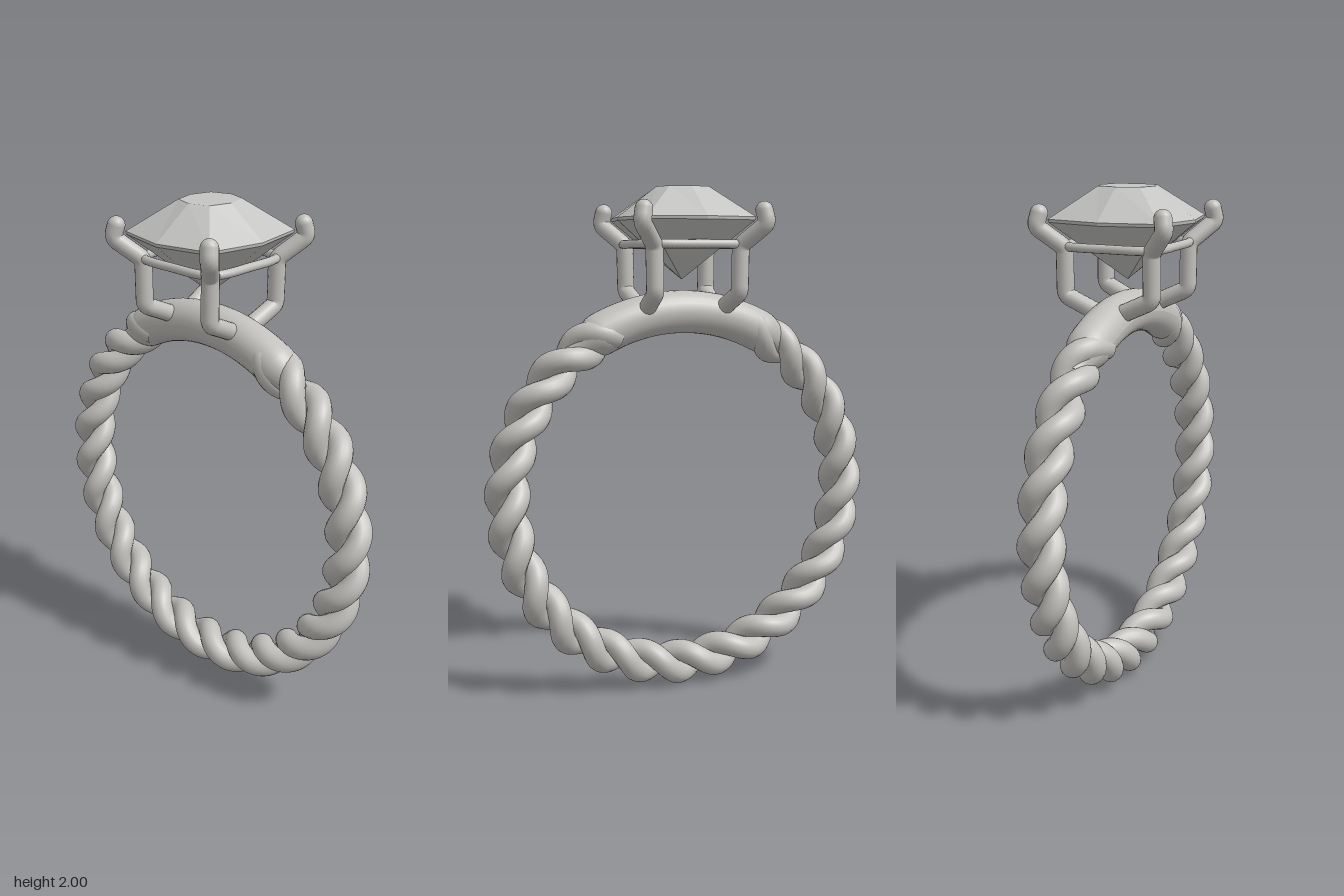
import * as THREE from 'three';

const CY = 0.8;        // centre height of the band
const R = 0.712;       // radius of the band's centre line
const TWIST = 13.5;    // turns of the rope around the band

class FunctionCurve extends THREE.Curve {
  constructor(fn) { super(); this.fn = fn; }
  getPoint(t, target = new THREE.Vector3()) { return target.copy(this.fn(t)); }
}

// Point near the band; phi runs clockwise from the bottom
const bandPoint = (phi, rho, z) =>
  new THREE.Vector3(-rho * Math.sin(phi), CY - rho * Math.cos(phi), z);

// One of the two twisted strands
function strandGeometry(phase) {
  const end = Math.PI - 0.42, offset = 0.042;
  const curve = new FunctionCurve((t) => {
    const phi = -end + 2 * end * t, a = TWIST * phi + phase;
    return bandPoint(phi, R + offset * Math.cos(a), offset * Math.sin(a));
  });
  return new THREE.TubeGeometry(curve, 640, 0.047, 16, false);
}

// Plain shoulder across the top, tapering into the rope at both ends
function shoulderGeometry() {
  const half = 0.68, segments = 64, sides = 28;
  const centre = (t) => bandPoint(Math.PI - half + 2 * half * t, R + 0.006, 0);
  const geo = new THREE.TubeGeometry(new FunctionCurve(centre), segments, 0.084, sides, false);
  const pos = geo.attributes.position, v = new THREE.Vector3();
  for (let i = 0; i < pos.count; i++) {
    const t = Math.floor(i / (sides + 1)) / segments;
    const k = THREE.MathUtils.smoothstep(Math.min(t, 1 - t) * 2 * half, 0, 0.2);
    const c = centre(t);
    v.fromBufferAttribute(pos, i).sub(c).multiplyScalar(0.45 + 0.55 * k).add(c);
    pos.setXYZ(i, v.x, v.y, v.z);
  }
  geo.computeVertexNormals();
  return geo;
}

// Faceted stone: eight-sided rings [midX, midZ, cornerX, cornerZ, y]
function stoneGeometry() {
  const rings = [
    [0.001, 0.001, 0.001, 0.001, 1.645],
    [0.26, 0.277, 0.215, 0.226, 1.87],
    [0.262, 0.279, 0.217, 0.228, 1.882],
    [0.105, 0.113, 0.08, 0.087, 2.0],
  ].map(([mx, mz, cx, cz, y]) => [
    [mx, y, 0], [cx, y, cz], [0, y, mz], [-cx, y, cz],
    [-mx, y, 0], [-cx, y, -cz], [0, y, -mz], [cx, y, -cz],
  ]);
  const out = [];
  for (let r = 0; r < rings.length - 1; r++) {
    const lo = rings[r], up = rings[r + 1];
    for (let i = 0; i < 8; i++) {
      const j = (i + 1) % 8;
      out.push(...lo[i], ...up[i], ...up[j], ...lo[i], ...up[j], ...lo[j]);
    }
  }
  const table = rings[rings.length - 1];
  for (let i = 0; i < 8; i++) out.push(0, 2.0, 0, ...table[(i + 1) % 8], ...table[i]);
  const geo = new THREE.BufferGeometry();
  geo.setAttribute('position', new THREE.Float32BufferAttribute(out, 3));
  geo.computeVertexNormals();
  return geo;
}

// Polyline path with softly rounded bends
function bentPath(points, bend) {
  const path = new THREE.CurvePath();
  let from = points[0];
  for (let i = 1; i < points.length - 1; i++) {
    const p = points[i];
    const toward = (q) => p.clone().add(q.clone().sub(p).setLength(bend));
    const a = toward(points[i - 1]), b = toward(points[i + 1]);
    path.add(new THREE.LineCurve3(from, a));
    path.add(new THREE.QuadraticBezierCurve3(a, p, b));
    from = b;
  }
  path.add(new THREE.LineCurve3(from, points[points.length - 1]));
  return path;
}

export function createModel() {
  const metal = new THREE.MeshStandardMaterial({ color: 0xc2c0bc });
  metal.name = 'silver metal';
  const gem = new THREE.MeshStandardMaterial({ color: 0xc4c4c2 });
  gem.name = 'clear stone';

  const model = new THREE.Group();
  model.name = 'ring';
  const add = (parent, name, geo, mat) => {
    const mesh = new THREE.Mesh(geo, mat);
    mesh.name = name;
    parent.add(mesh);
    return mesh;
  };

  // Band
  const band = new THREE.Group();
  band.name = 'band';
  model.add(band);
  add(band, 'firstStrand', strandGeometry(0), metal);
  add(band, 'secondStrand', strandGeometry(Math.PI), metal);
  add(band, 'shoulder', shoulderGeometry(), metal);

  // Setting: four prongs with rounded tips
  const setting = new THREE.Group();
  setting.name = 'setting';
  model.add(setting);
  const prongR = 0.034;
  for (const sx of [1, -1]) {
    for (const sz of [1, -1]) {
      const pts = [
        [0.16, 1.535, 0.05], [0.172, 1.595, 0.18], [0.175, 1.775, 0.18],
        [0.25, 1.858, 0.262], [0.24, 1.906, 0.252],
      ].map(([x, y, z]) => new THREE.Vector3(sx * x, y, sz * z));
      const prong = new THREE.Group();
      prong.name = 'prong';
      setting.add(prong);
      add(prong, 'prongWire', new THREE.TubeGeometry(bentPath(pts, 0.022), 60, prongR, 16, false), metal);
      for (const end of [pts[0], pts[4]]) {
        add(prong, 'prongTip', new THREE.SphereGeometry(prongR, 16, 12), metal).position.copy(end);
      }
    }
  }

  // Gallery rail joining the prongs
  const railPoints = [];
  for (let i = 0; i < 8; i++) {
    const a = (i * Math.PI) / 4, r = i % 2 ? 0.25 : 0.2;
    railPoints.push(new THREE.Vector3(r * Math.cos(a), 1.78, r * Math.sin(a)));
  }
  const railCurve = new THREE.CatmullRomCurve3(railPoints, true);
  add(setting, 'galleryRail', new THREE.TubeGeometry(railCurve, 96, 0.017, 12, true), metal);

  // Stone
  add(model, 'stone', stoneGeometry(), gem);
  return model;
}
